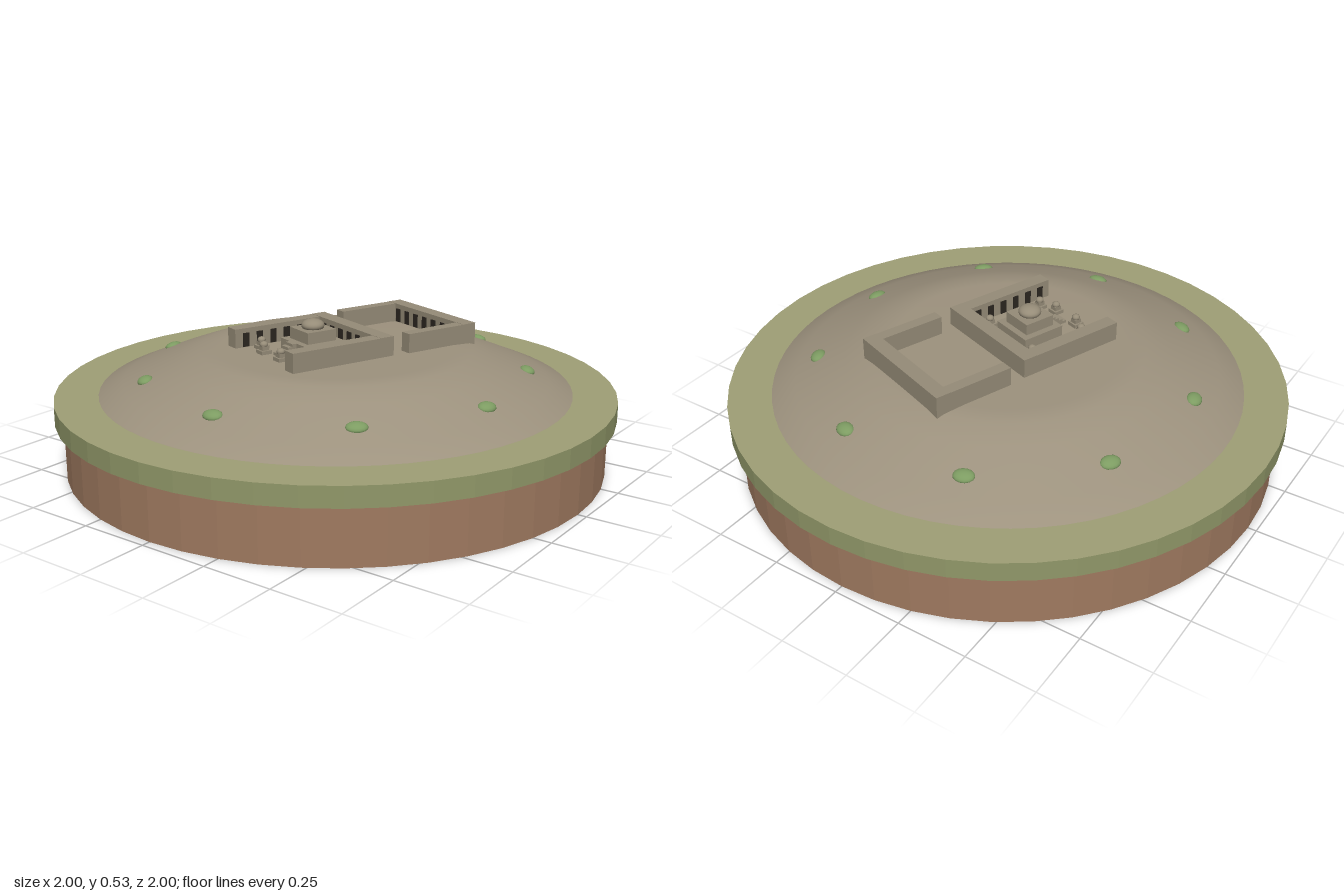
import * as THREE from 'three';

const mat = (name, color, extra = {}) => {
  const m = new THREE.MeshStandardMaterial({ color, ...extra });
  m.name = name;
  return m;
};

export function createModel() {
  const earth = mat('earth brown', 0xa07a60, { flatShading: true });
  const grassTop = mat('dry grass', 0x9f9f76);
  const grassSide = mat('grass edge', 0x919869, { flatShading: true });
  const hill = mat('hill soil', 0x9d927e);
  const stone = mat('stone', 0x968c78);
  const dark = mat('doorway dark', 0x2b2620);
  const leaf = mat('bush green', 0x7d9c62);

  const model = new THREE.Group();
  model.name = 'hilltopSanctuary';

  const add = (parent, name, geo, material, x = 0, y = 0, z = 0) => {
    const m = new THREE.Mesh(geo, material);
    m.name = name;
    m.position.set(x, y, z);
    parent.add(m);
    return m;
  };
  // Box given by its centre in x and z and its bottom and top heights
  const box = (parent, name, w, d, y0, y1, x, z, material = stone) =>
    add(parent, name, new THREE.BoxGeometry(w, y1 - y0, d), material, x, (y0 + y1) / 2, z);

  // Round base and grassy rim
  add(model, 'earthBase', new THREE.CylinderGeometry(0.97, 0.97, 0.2, 48), earth, 0, 0.1, 0);
  add(model, 'grassRim', new THREE.CylinderGeometry(1, 1, 0.07, 48),
    [grassSide, grassTop, grassSide], 0, 0.235, 0);

  // Flat-topped mound
  const profile = [[0.85, 0.25], [0.845, 0.272], [0.76, 0.307], [0.68, 0.34], [0.58, 0.378],
    [0.49, 0.408], [0.42, 0.412], [0, 0.412]].map(p => new THREE.Vector2(...p));
  add(model, 'mound', new THREE.LatheGeometry(profile, 64), hill);

  // Ring of bushes on the slope
  for (let i = 0; i < 9; i++) {
    const a = THREE.MathUtils.degToRad(1.5 + i * 40);
    const bush = add(model, 'bush', new THREE.SphereGeometry(1, 14, 10), leaf,
      Math.sin(a) * 0.685, 0.336, Math.cos(a) * 0.685);
    bush.scale.set(0.037, 0.016, 0.028);
    bush.rotation.order = 'YXZ';
    bush.rotation.set(0.25, a, 0);
  }

  // Two courtyards, turned together on the summit
  const courts = new THREE.Group();
  courts.name = 'courtyards';
  courts.position.set(-0.037, 0, 0.1);
  courts.rotation.y = THREE.MathUtils.degToRad(-20);
  model.add(courts);

  const FLOOR = 0.4, TOP = 0.482;
  // Three walls, open to the front
  const court = (name, halfW, back, front, backT, sideT) => {
    const g = new THREE.Group();
    g.name = name;
    courts.add(g);
    box(g, 'backWall', halfW * 2, backT, FLOOR, TOP, 0, back + backT / 2);
    for (const s of [-1, 1]) {
      box(g, 'sideWall', sideT, front - back - backT, FLOOR, TOP - 0.001,
        s * (halfW - sideT / 2), (front + back + backT) / 2);
    }
    return g;
  };
  const main = court('mainCourt', 0.22, -0.203, 0.21, 0.055, 0.052);
  const rear = court('rearCourt', 0.227, -0.565, -0.265, 0.055, 0.043);

  // Dark doorways on the inner wall faces
  for (let i = 0; i < 6; i++) {
    const t = (i - 2.5) * 0.054;
    box(main, 'doorway', 0.024, 0.006, 0.414, 0.464, t, -0.147, dark);
    for (const s of [-1, 1]) {
      box(main, 'doorway', 0.006, 0.024, 0.414, 0.464, s * 0.167, t * 1.05 + 0.025, dark);
    }
  }
  for (let i = 0; i < 7; i++) {
    box(rear, 'doorway', 0.024, 0.006, 0.414, 0.464, (i - 3) * 0.054, -0.509, dark);
  }

  // Stepped shrine with a dome
  const shrine = new THREE.Group();
  shrine.name = 'shrine';
  shrine.position.z = -0.01;
  main.add(shrine);
  box(shrine, 'lowerPlatform', 0.166, 0.166, FLOOR, 0.452, 0, 0);
  box(shrine, 'upperPlatform', 0.118, 0.118, 0.452, 0.493, 0, 0);
  const dome = add(shrine, 'dome', new THREE.SphereGeometry(0.041, 24, 16), stone, 0, 0.503, 0);
  dome.scale.y = 0.56;
  // Front stairway
  for (let i = 0; i < 4; i++) {
    box(shrine, 'stair', 0.045, 0.017, FLOOR, 0.452 - i * 0.01, 0, 0.0915 + i * 0.017);
  }

  // Small votive shrines around the court
  for (const [x, z] of [[-0.125, -0.095], [0.125, -0.095], [-0.12, 0.13], [0.12, 0.13],
    [-0.057, 0.158], [0.057, 0.158]]) {
    const g = new THREE.Group();
    g.name = 'votiveShrine';
    g.position.set(x, 0, z);
    main.add(g);
    box(g, 'votiveFoot', 0.04, 0.04, FLOOR, 0.425, 0, 0);
    box(g, 'votivePost', 0.026, 0.026, 0.425, 0.44, 0, 0);
    const cap = add(g, 'votiveDome', new THREE.SphereGeometry(0.015, 12, 8), stone, 0, 0.444, 0);
    cap.scale.y = 0.8;
  }

  return model;
}
